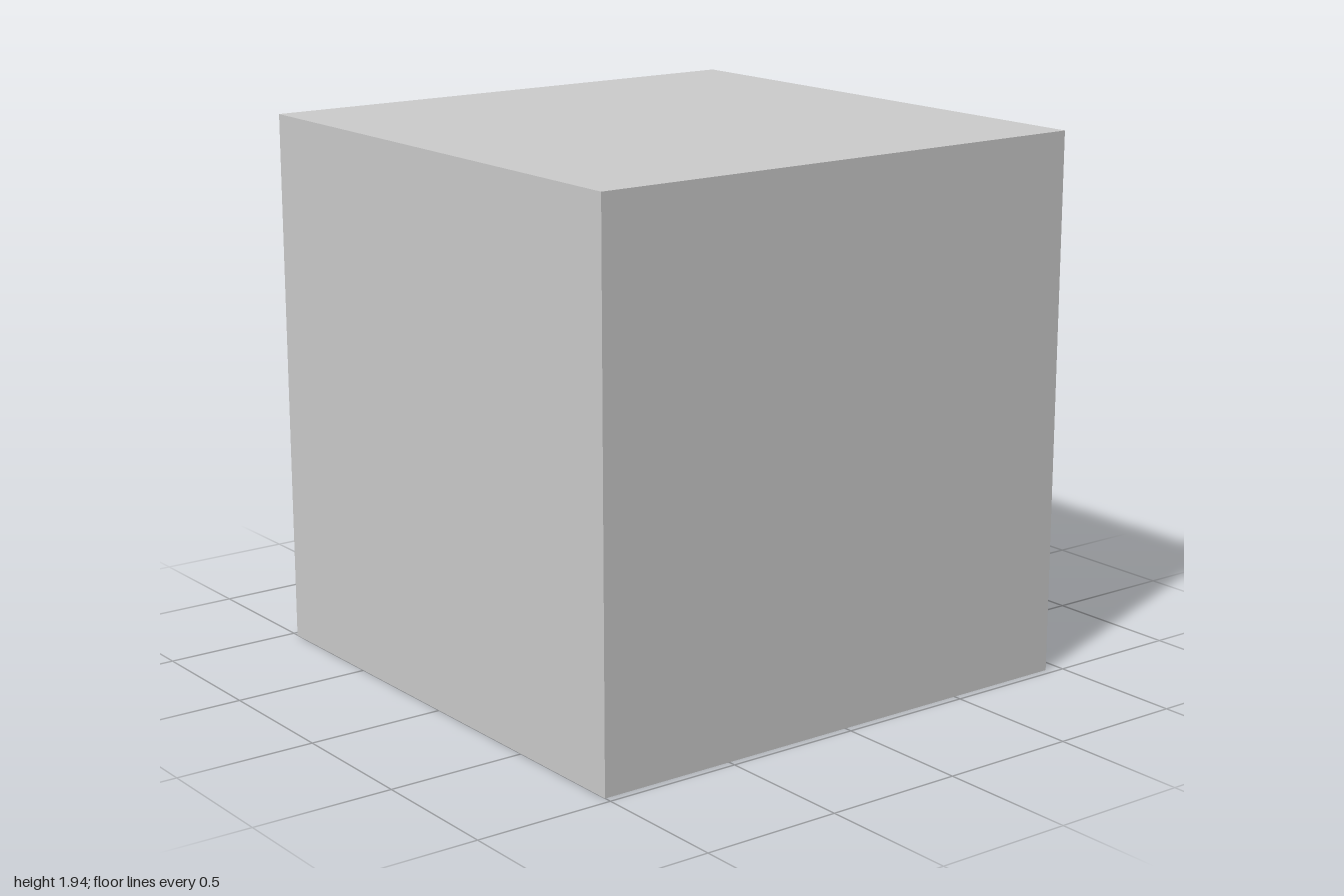
import * as THREE from 'three';

const material = new THREE.MeshStandardMaterial({ color: 0xcccccc });
const SIDE_X = 0.943; // plane the arched ribs stand on
const rad = THREE.MathUtils.degToRad;

// Arched rib on the +x side: angles in degrees, seen with -z to the right
function archedRib(name, z, y, outerR, innerR, outerAngles, innerAngles, depth) {
  const shape = new THREE.Shape();
  shape.absarc(0, 0, outerR, rad(outerAngles[0]), rad(outerAngles[1]), false);
  shape.absarc(0, 0, innerR, rad(innerAngles[1]), rad(innerAngles[0]), true);
  const geometry = new THREE.ExtrudeGeometry(shape, { depth, bevelEnabled: false, curveSegments: 16 });
  const rib = new THREE.Mesh(geometry, material);
  rib.name = name;
  rib.rotation.y = Math.PI / 2;
  rib.position.set(SIDE_X, y, z);
  return rib;
}

export function createModel() {
  const group = new THREE.Group();
  group.name = 'blockWithArches';

  // Main block
  const size = 1.944;
  const block = new THREE.Mesh(new THREE.BoxGeometry(size, size, size), material);
  block.name = 'block';
  block.position.set(SIDE_X - size / 2, size / 2, 0);
  group.add(block);

  // Deep lower arches
  const lower = [28, 152];
  group.add(archedRib('lowerArchFront', 0.473, 0.65, 0.19, 0.153, lower, lower, 0.057));
  group.add(archedRib('lowerArchBack', -0.466, 0.65, 0.19, 0.153, lower, lower, 0.057));

  // Shallow upper quarter arches with slanted ends
  group.add(archedRib('upperArchFront', 0.537, 0.888, 0.186, 0.15, [81.5, 177], [87.5, 177], 0.031));
  group.add(archedRib('upperArchBack', -0.532, 0.882, 0.187, 0.15, [0, 94.6], [6, 95.7], 0.031));

  return group;
}
